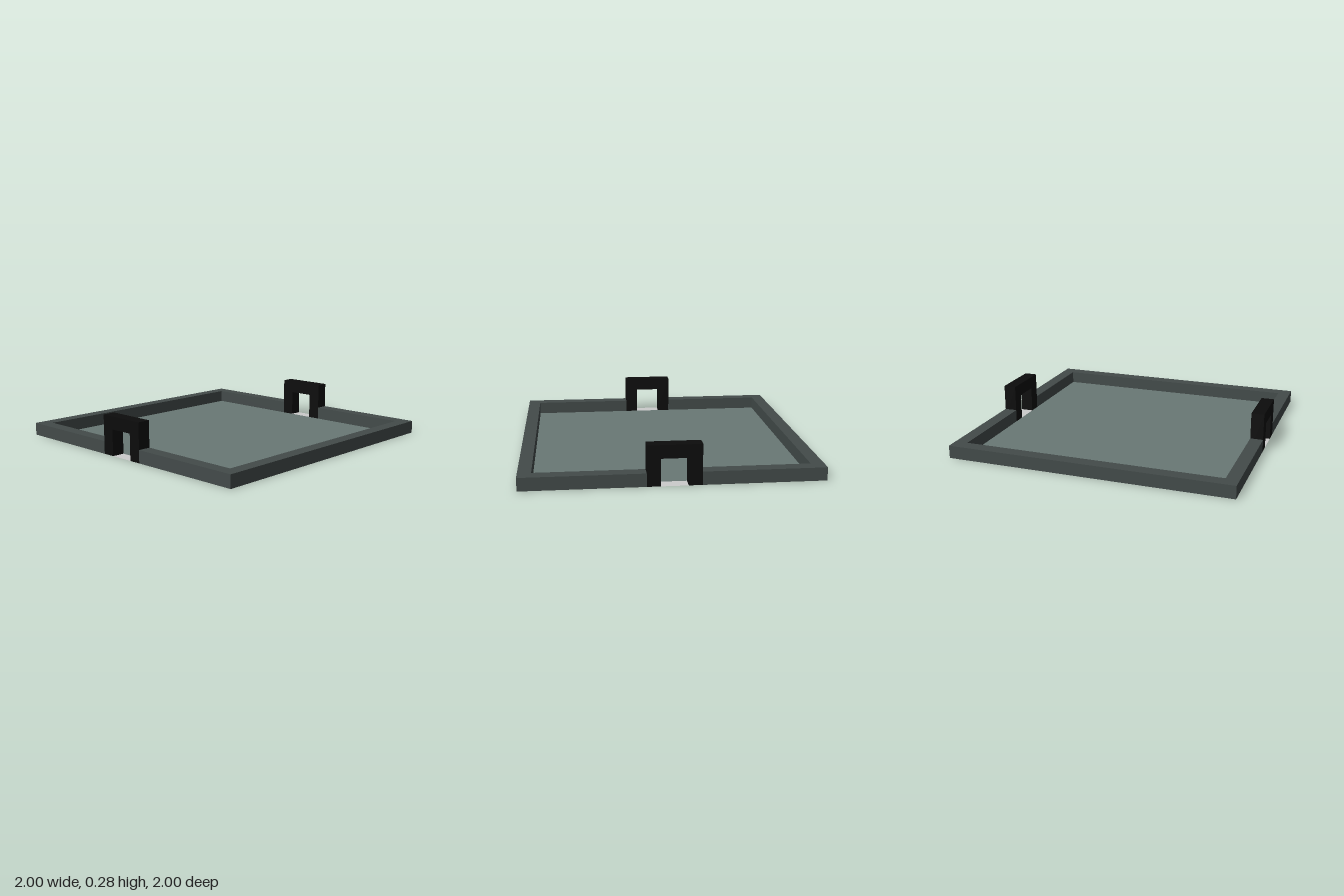
import * as THREE from 'three';

const OUT = 1, IN = 0.91, RIM_H = 0.09;
const HANDLE_X = 0.18, GAP_X = 0.09, HANDLE_H = 0.275, HANDLE_IN = 0.185;

const mat = (color, side = THREE.FrontSide) =>
  new THREE.MeshStandardMaterial({ color, side, flatShading: true });

const outline = (pts) => new THREE.Shape(pts.map(([x, y]) => new THREE.Vector2(x, y)));

const extrude = (pts, depth) =>
  new THREE.ExtrudeGeometry(outline(pts), { depth, bevelEnabled: false });

// Flat horizontal sheet, visible from both sides
function sheet(name, w, d, z, material) {
  const mesh = new THREE.Mesh(new THREE.PlaneGeometry(w, d).rotateX(-Math.PI / 2), material);
  mesh.position.z = z;
  mesh.name = name;
  return mesh;
}

export function createModel() {
  const tray = new THREE.Group();
  tray.name = 'tray';
  const rimMat = mat(0x434b4a);
  const floorMat = mat(0x697875, THREE.DoubleSide);
  const handleMat = mat(0x0c0c0c);
  const gapMat = mat(0xcccccc, THREE.DoubleSide);

  // Floor
  tray.add(sheet('floor', IN * 2, IN * 2, 0, floorMat));

  // C-shaped half of the rim, interrupted at the handles
  const rimGeo = extrude([
    [HANDLE_X, -OUT], [OUT, -OUT], [OUT, OUT], [HANDLE_X, OUT],
    [HANDLE_X, IN], [IN, IN], [IN, -IN], [HANDLE_X, -IN],
  ], RIM_H).rotateX(-Math.PI / 2);

  // Square arch handle standing on the ground
  const handleGeo = extrude([
    [-HANDLE_X, 0], [-GAP_X, 0], [-GAP_X, HANDLE_IN], [GAP_X, HANDLE_IN],
    [GAP_X, 0], [HANDLE_X, 0], [HANDLE_X, HANDLE_H], [-HANDLE_X, HANDLE_H],
  ], OUT - IN).translate(0, 0, IN);

  // Each half-turn gives one rim half, one handle and the sheet under it
  ['front', 'back'].forEach((end, i) => {
    const half = new THREE.Group();
    half.name = `${end}Half`;
    half.rotation.y = i * Math.PI;
    const rim = new THREE.Mesh(rimGeo, rimMat);
    rim.name = i ? 'rightRim' : 'leftRim';
    const handle = new THREE.Mesh(handleGeo, handleMat);
    handle.name = `${end}Handle`;
    half.add(rim, handle, sheet(`${end}HandleBase`, GAP_X * 2, OUT - IN, (OUT + IN) / 2, gapMat));
    tray.add(half);
  });
  return tray;
}
